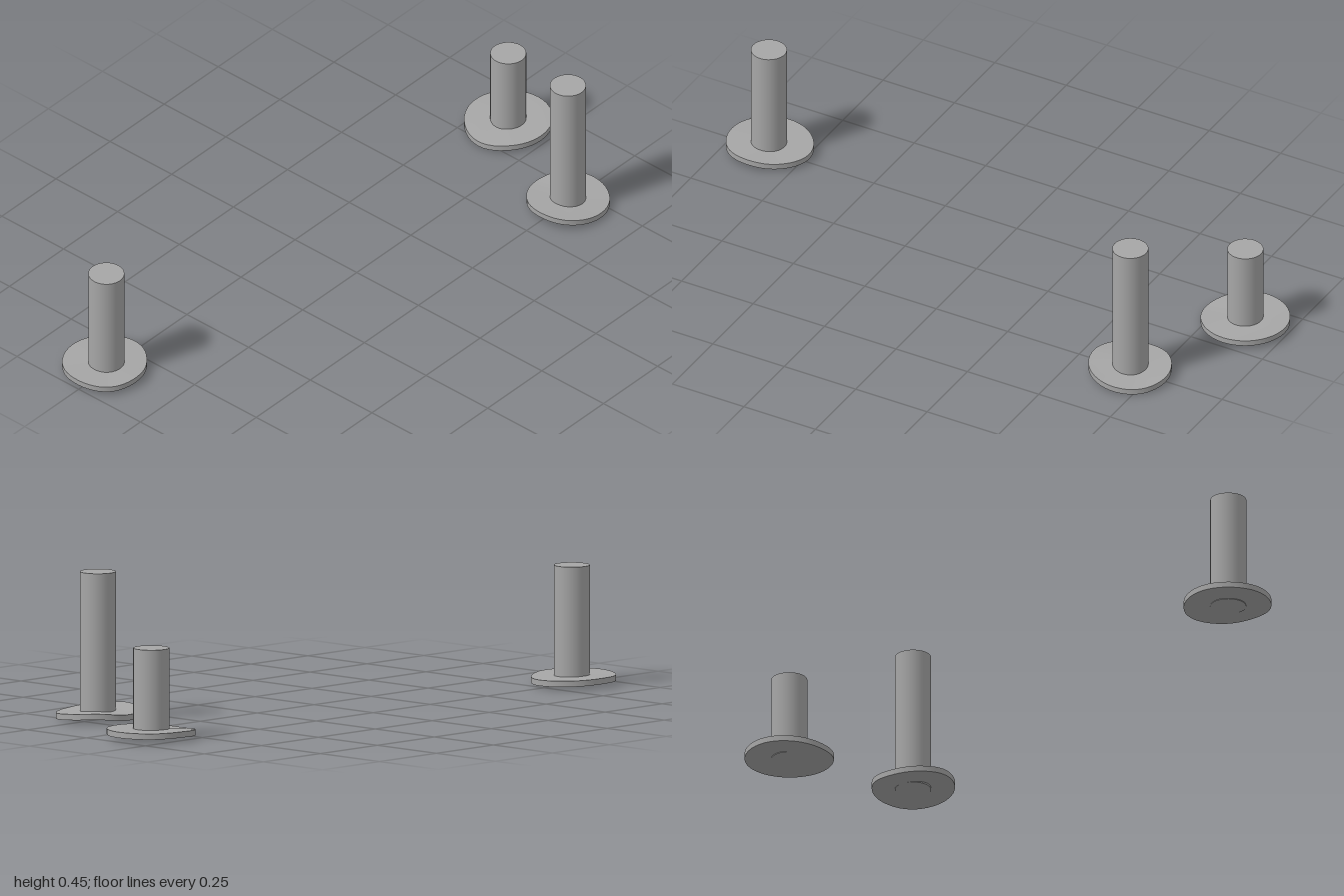
import * as THREE from 'three';

const SIDES = 48;
const THICK = 0.018;
const POST_R = 0.055;

// Smoothly interpolated value around a closed ring of evenly spaced samples
function ringValue(samples, t) {
  const n = samples.length, f = t * n, i = Math.floor(f), u = f - i;
  const s = (k) => samples[(i + k + n) % n];
  const a = s(-1), b = s(0), c = s(1), d = s(2);
  return b + 0.5 * u * (c - a + u * (2 * a - 5 * b + 4 * c - d + u * (3 * (b - c) + d - a)));
}

// Warped disc: top, rim and underside, each with its own vertices for crisp edges
function warpedDisc(radii, heights, centreY) {
  const pos = [], index = [];
  const rim = (i, drop) => {
    const t = (i % SIDES) / SIDES, a = t * Math.PI * 2, r = ringValue(radii, t);
    pos.push(r * Math.cos(a), ringValue(heights, t) - drop, r * Math.sin(a));
  };
  const cap = (drop, up) => {
    const c = pos.length / 3;
    pos.push(0, centreY - drop, 0);
    for (let i = 0; i < SIDES; i++) rim(i, drop);
    for (let i = 0; i < SIDES; i++) {
      const p = c + 1 + i, q = c + 1 + (i + 1) % SIDES;
      if (up) index.push(c, q, p);
      else index.push(c, p, q);
    }
  };
  cap(0, true);
  cap(THICK, false);
  const s = pos.length / 3;
  for (let i = 0; i < SIDES; i++) {
    rim(i, 0);
    rim(i, THICK);
  }
  for (let i = 0; i < SIDES; i++) {
    const a = s + 2 * i, b = s + 2 * ((i + 1) % SIDES);
    index.push(a, b, a + 1, a + 1, b, b + 1);
  }
  const g = new THREE.BufferGeometry();
  g.setAttribute('position', new THREE.Float32BufferAttribute(pos, 3));
  g.setIndex(index);
  g.computeVertexNormals();
  return g;
}

// Samples run from +x towards +z in steps of 45 degrees
const PEGS = [
  {
    name: 'rightPeg', x: -0.869, z: -0.253, top: 0.369,
    radii: [0.139, 0.124, 0.122, 0.131, 0.131, 0.135, 0.133, 0.135],
    heights: [0.028, 0.028, 0.033, 0.033, 0.035, 0.032, 0.033, 0.03],
  },
  {
    name: 'frontLeftPeg', x: 0.683, z: 0.257, top: 0.457,
    radii: [0.128, 0.128, 0.126, 0.128, 0.127, 0.127, 0.128, 0.126],
    heights: [0.03, 0.023, 0.026, 0.036, 0.042, 0.034, 0.028, 0.035],
  },
  {
    name: 'backLeftPeg', x: 0.861, z: -0.141, top: 0.279,
    radii: [0.138, 0.136, 0.134, 0.135, 0.139, 0.135, 0.134, 0.136],
    heights: [0.033, 0.032, 0.03, 0.027, 0.02, 0.028, 0.034, 0.033],
  },
];

export function createModel() {
  const model = new THREE.Group();
  model.name = 'pegs';
  const grey = new THREE.MeshStandardMaterial({ color: 0xa6a6a6 });
  grey.name = 'grey';

  for (const p of PEGS) {
    const peg = new THREE.Group();
    peg.name = p.name;
    peg.position.set(p.x, 0, p.z);

    // Uneven foot
    const base = new THREE.Mesh(warpedDisc(p.radii, p.heights, 0.031), grey);
    base.name = 'base';

    // Upright post, reaching just through the foot
    const bottom = 0.012;
    const post = new THREE.Mesh(
      new THREE.CylinderGeometry(POST_R, POST_R, p.top - bottom, 40), grey);
    post.position.y = (p.top + bottom) / 2;
    post.name = 'post';

    peg.add(base, post);
    model.add(peg);
  }
  return model;
}
